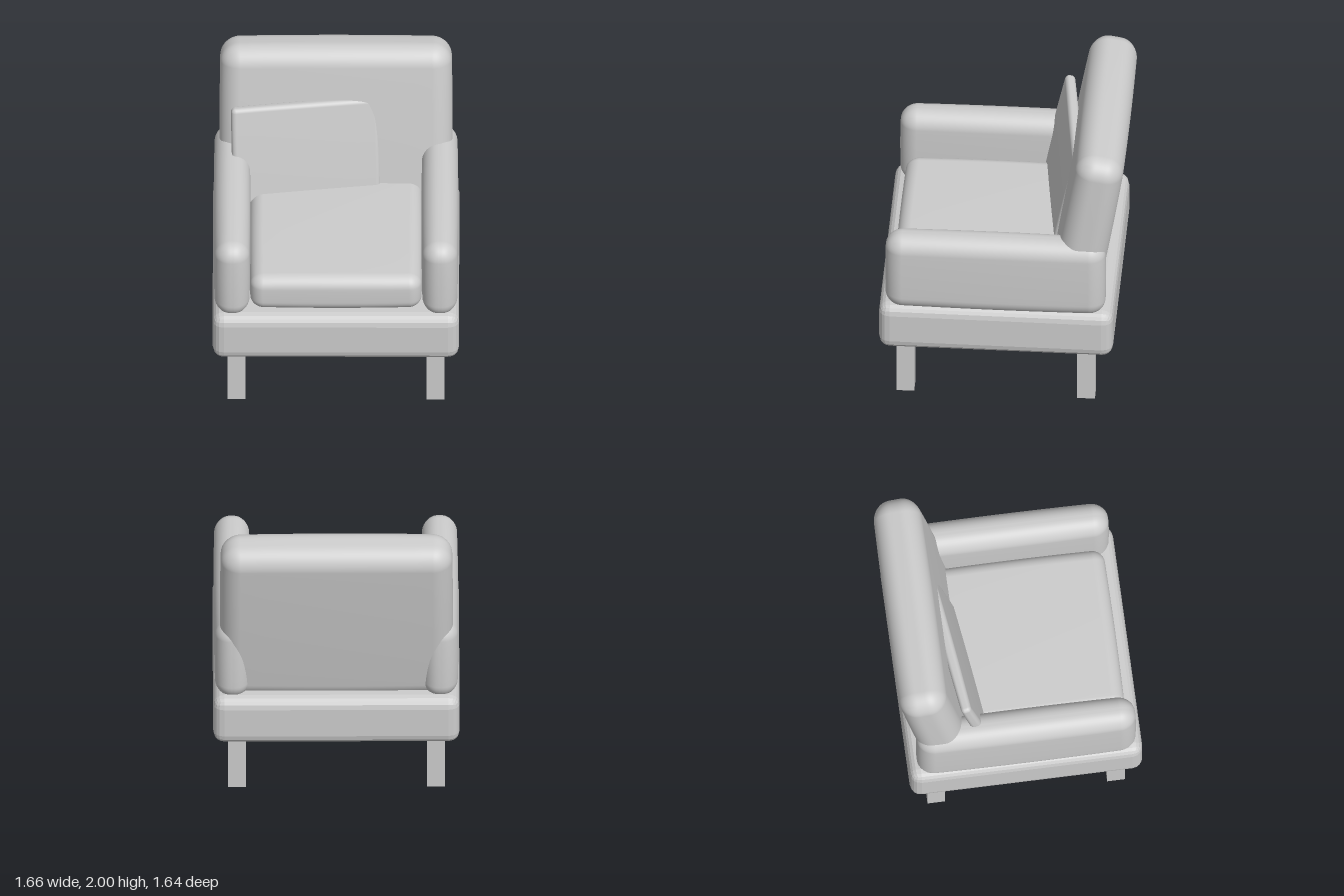
import * as THREE from 'three';
import { mergeVertices } from 'three/addons/utils/BufferGeometryUtils.js';
import { RoundedBoxGeometry } from 'three/addons/geometries/RoundedBoxGeometry.js';

const fabric = new THREE.MeshStandardMaterial({ color: 0xcccccc });
fabric.name = 'light grey';

// Soft, slightly puffed box: rounded by radius r, edges drawn in by up to `puff`
function cushionGeometry(w, h, d, r, puff) {
  const n = 20;
  let geo = new THREE.BoxGeometry(2, 2, 2, n, n, n);
  geo.deleteAttribute('normal');
  geo.deleteAttribute('uv');
  geo = mergeVertices(geo);
  const half = [w / 2, h / 2, d / 2];
  const pos = geo.attributes.position;
  const p = new THREE.Vector3();
  const core = new THREE.Vector3();
  // six rows of vertices round each edge, the rest spread over the flat
  const remap = (t, s) => {
    const a = Math.abs(t), flat = 0.4;
    const v = a < flat
      ? (a / flat) * (s - r)
      : s - r + r * Math.tan(((a - flat) / (1 - flat)) * Math.PI / 4);
    return Math.sign(t) * v;
  };
  for (let i = 0; i < pos.count; i++) {
    p.fromBufferAttribute(pos, i);
    p.set(remap(p.x, half[0]), remap(p.y, half[1]), remap(p.z, half[2]));
    core.set(...p.toArray().map((v, k) => THREE.MathUtils.clamp(v, r - half[k], half[k] - r)));
    p.sub(core).setLength(Math.min(r, p.length() || r)).normalize().multiplyScalar(r).add(core);
    const u = p.toArray().map((v, k) => v / half[k]);
    const sq = u.map((v) => v * v);
    const sum = sq[0] + sq[1] + sq[2];
    p.set(...u.map((v, k) => v * (half[k] - puff * (sum - sq[k]) / 2)));
    pos.setXYZ(i, p.x, p.y, p.z);
  }
  geo.computeVertexNormals();
  return geo;
}

export function createModel() {
  const chair = new THREE.Group();
  chair.name = 'armchair';

  const add = (name, geo, x, y, z) => {
    const mesh = new THREE.Mesh(geo, fabric);
    mesh.name = name;
    mesh.position.set(x, y, z);
    chair.add(mesh);
    return mesh;
  };

  // Bevelled base with faceted edges
  const baseGeo = new RoundedBoxGeometry(1.66, 0.36, 1.58, 2, 0.075);
  baseGeo.computeVertexNormals();
  add('base', baseGeo, 0, 0.59, 0.035);

  // Square legs and mirrored arms
  const legGeo = new THREE.BoxGeometry(0.12, 0.43, 0.12);
  const armGeo = cushionGeometry(0.25, 0.595, 1.49, 0.11, 0.012);
  for (const side of [1, -1]) {
    const label = side > 0 ? 'left' : 'right';
    add(label + 'FrontLeg', legGeo, side * 0.67, 0.215, 0.65);
    add(label + 'BackLeg', legGeo, side * 0.67, 0.215, -0.57);
    add(label + 'Arm', armGeo, side * 0.7, 1.02, 0.042);
  }

  // Seat cushion
  add('seatCushion', cushionGeometry(1.165, 0.285, 1.27, 0.085, 0.012), 0, 0.89, 0.105);

  // Reclined backrest
  const back = add('backrest', cushionGeometry(1.57, 1.3, 0.345, 0.13, 0.014), 0, 1.352, -0.567);
  back.rotation.x = -0.166;

  // Thin loose pillow, leaning and turned a little
  const pillow = add('pillow', cushionGeometry(1.0, 0.72, 0.085, 0.028, 0.008), -0.205, 1.298, -0.354);
  pillow.rotation.set(-0.205, 0.126, 0, 'YXZ');

  return chair;
}
